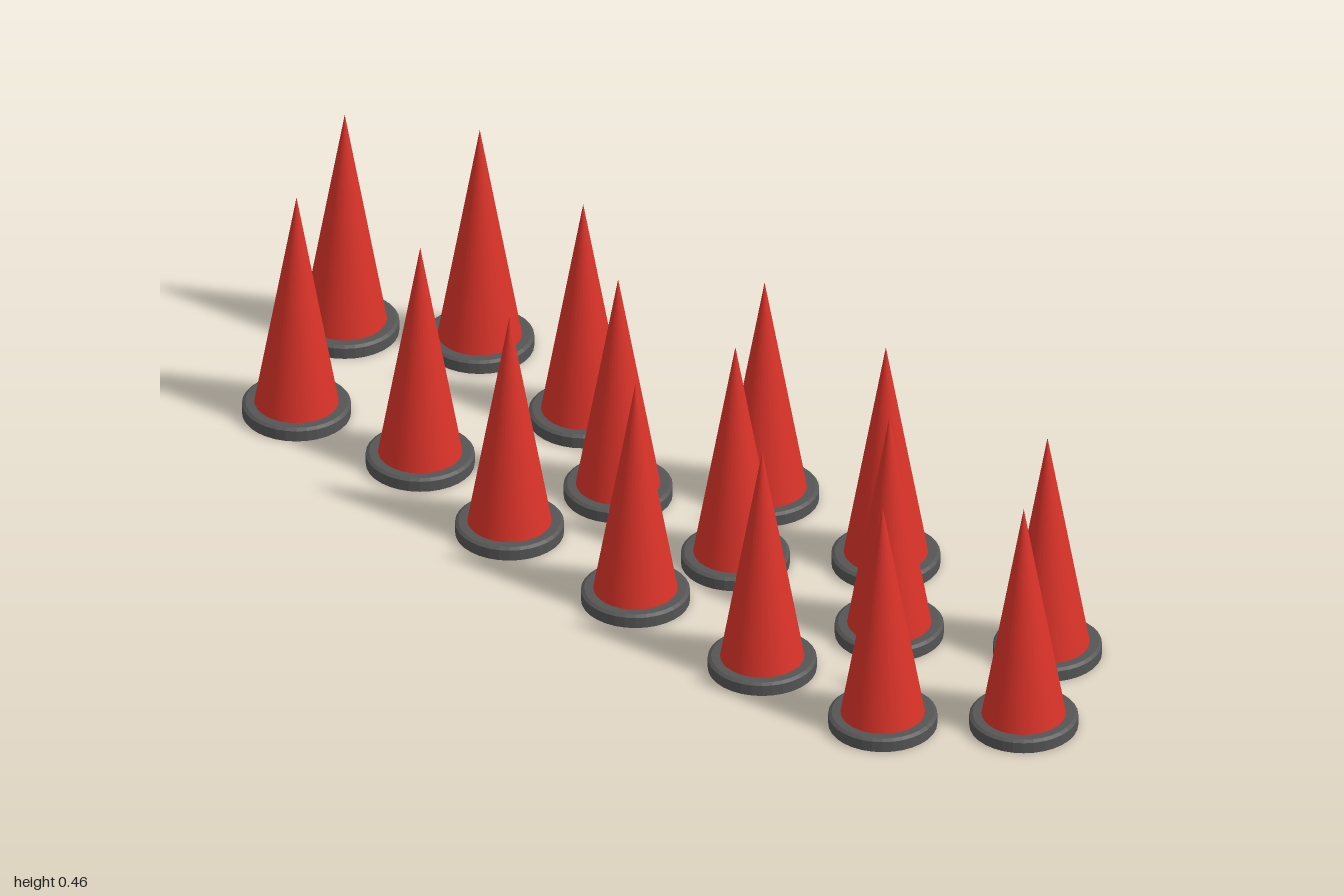
import * as THREE from 'three';

// [x, z] of every cone, back row, middle row, front row
const SPOTS = [
  [-0.695, -0.203], [-0.386, -0.158], [0.031, -0.203], [0.34, -0.203], [0.761, -0.194],
  [-0.902, -0.067], [-0.162, -0.024], [0.149, -0.012], [0.513, -0.04], [0.902, 0.006],
  [-0.765, 0.191], [-0.488, 0.153], [-0.21, 0.203], [0.111, 0.203], [0.434, 0.203], [0.721, 0.183],
];

export function createModel() {
  const group = new THREE.Group();
  group.name = 'trafficCones';

  const red = new THREE.MeshStandardMaterial({ color: 0xdb3329 });
  const grey = new THREE.MeshStandardMaterial({ color: 0x555555, flatShading: true });

  // Round foot with a slightly bevelled top edge
  const profile = [[0, 0], [0.098, 0], [0.098, 0.021], [0.092, 0.025], [0, 0.025]];
  const footGeometry = new THREE.LatheGeometry(profile.map(([r, y]) => new THREE.Vector2(r, y)), 32);

  // Tall pointed body standing on the foot
  const bodyGeometry = new THREE.ConeGeometry(0.076, 0.432, 32, 1, true);
  bodyGeometry.translate(0, 0.024 + 0.216, 0);

  for (const [x, z] of SPOTS) {
    const cone = new THREE.Group();
    cone.name = 'cone';
    const foot = new THREE.Mesh(footGeometry, grey);
    foot.name = 'foot';
    const body = new THREE.Mesh(bodyGeometry, red);
    body.name = 'body';
    cone.add(foot, body);
    cone.position.set(x, 0, z);
    group.add(cone);
  }
  return group;
}
